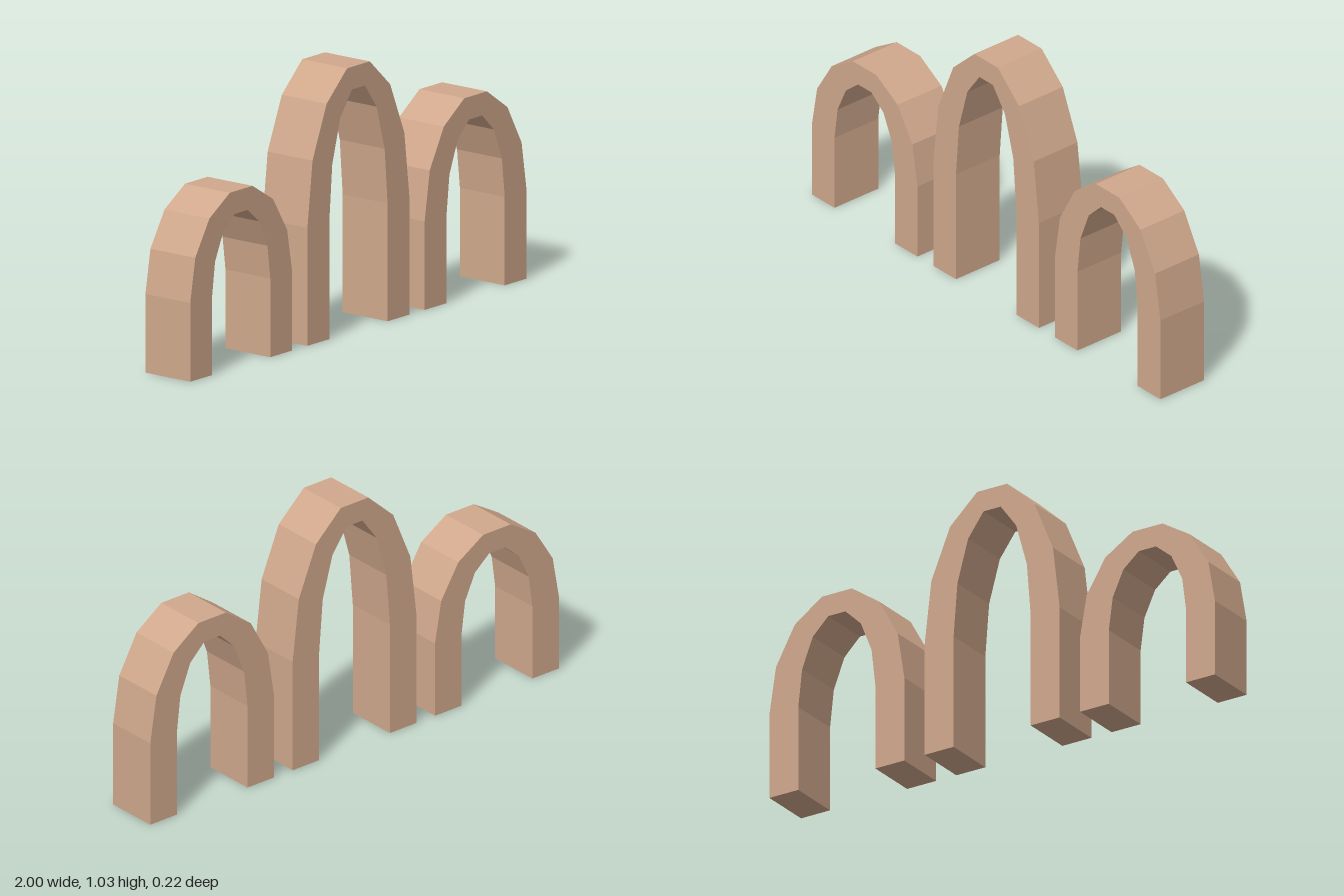
import * as THREE from 'three';

const DEPTH = 0.217;
const OUTER = 0.303;      // half width of every arch
const LEG = 0.13;         // leg thickness
const CROWN = 0.09;       // thickness at the top
const SEGMENTS = 7;

// Points of a half ellipse standing on a spring line, from +x over to -x
function curvePoints(rx, ry, spring) {
  const points = [];
  for (let i = 0; i <= SEGMENTS; i++) {
    const a = (i / SEGMENTS) * Math.PI;
    points.push(new THREE.Vector2(rx * Math.cos(a), spring + ry * Math.sin(a)));
  }
  return points;
}

// One faceted arch: straight legs below a half-ellipse crown
function makeArch(name, x, spring, rise, material) {
  const inner = OUTER - LEG;
  const shape = new THREE.Shape([
    new THREE.Vector2(OUTER, 0),
    ...curvePoints(OUTER, rise, spring),
    new THREE.Vector2(-OUTER, 0),
    new THREE.Vector2(-inner, 0),
    ...curvePoints(inner, rise - CROWN, spring).reverse(),
    new THREE.Vector2(inner, 0),
  ]);
  const geometry = new THREE.ExtrudeGeometry(shape, { depth: DEPTH, bevelEnabled: false });
  geometry.translate(0, 0, -DEPTH / 2);
  const mesh = new THREE.Mesh(geometry, material);
  mesh.name = name;
  mesh.position.x = x;
  return mesh;
}

export function createModel() {
  const group = new THREE.Group();
  group.name = 'arches';
  const clay = new THREE.MeshStandardMaterial({ color: 0xd0a88c });
  clay.name = 'clay';

  group.add(
    makeArch('lowArch', -0.697, 0.305, 0.39, clay),
    makeArch('tallArch', 0, 0.457, 0.586, clay),
    makeArch('middleHeightArch', 0.697, 0.343, 0.441, clay),
  );
  return group;
}
